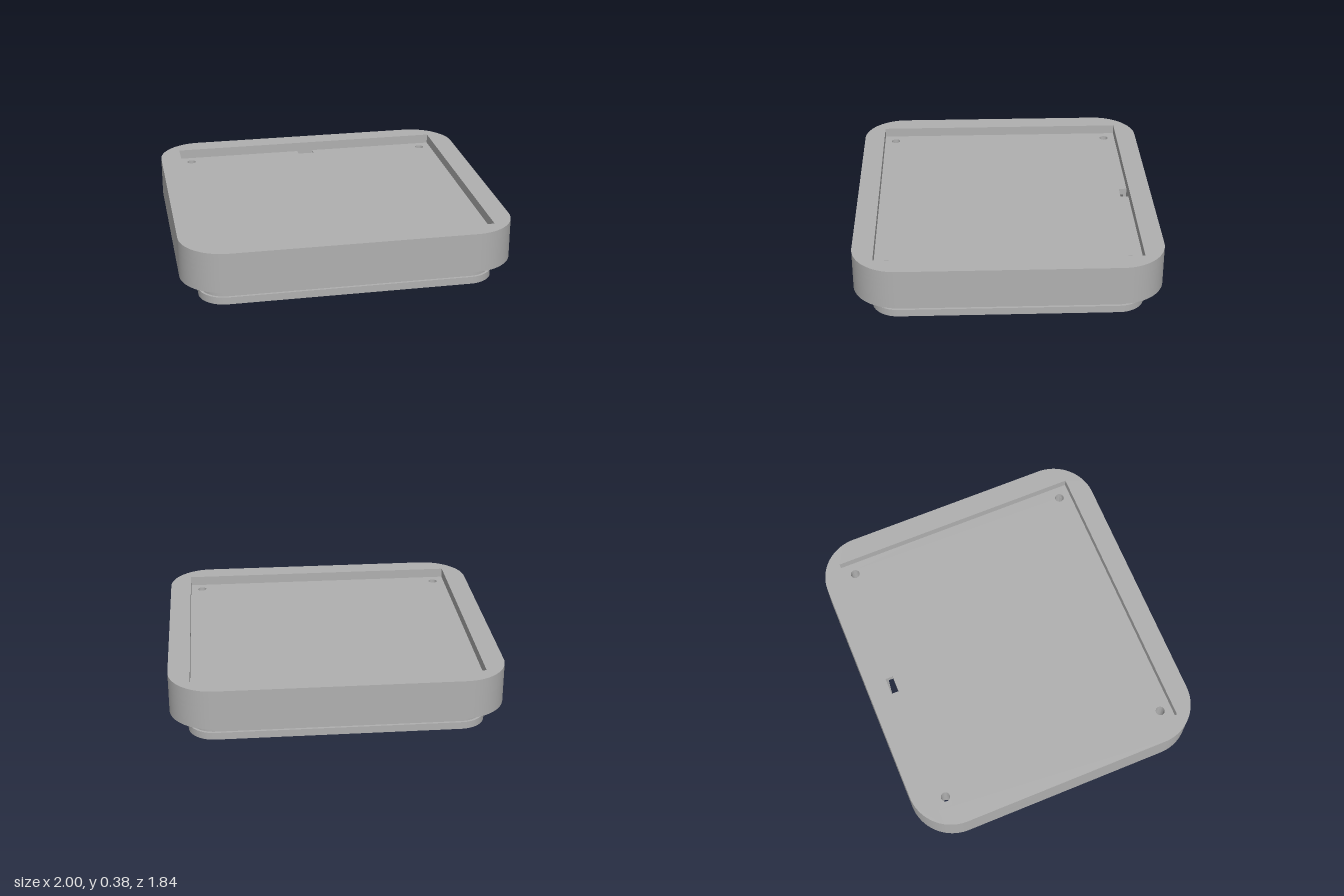
import * as THREE from 'three';
import { toCreasedNormals } from 'three/addons/utils/BufferGeometryUtils.js';

const HOLE_X = 0.795, HOLE_Z = 0.717, HOLE_R = 0.028;

// Rounded rectangle in plan, given half sizes and a corner radius.
// An optional notch cuts the cable slot into its back edge.
function roundedRect(target, w, d, r, notch) {
  target.moveTo(-w + r, -d);
  target.lineTo(w - r, -d);
  target.absarc(w - r, -d + r, r, -Math.PI / 2, 0);
  target.lineTo(w, d - r);
  target.absarc(w - r, d - r, r, 0, Math.PI / 2);
  if (notch) {
    target.lineTo(0.05, d);
    target.lineTo(0.05, notch);
    target.lineTo(-0.055, notch);
    target.lineTo(-0.055, d);
  }
  target.lineTo(-w + r, d);
  target.absarc(-w + r, d - r, r, Math.PI / 2, Math.PI);
  target.lineTo(-w, -d + r);
  target.absarc(-w + r, -d + r, r, Math.PI, Math.PI * 1.5);
  return target;
}

function rect(x0, x1, y0, y1) {
  return new THREE.Path([[x0, y0], [x1, y0], [x1, y1], [x0, y1]].map(p => new THREE.Vector2(...p)));
}

const circle = (target, x, y, r) => target.absarc(x, y, r, 0, Math.PI * 2);

export function createModel() {
  const group = new THREE.Group();
  group.name = 'enclosureLid';
  const grey = new THREE.MeshStandardMaterial({ color: 0xb0b0b0 });
  grey.name = 'grey plastic';

  // Extrudes a plan shape upward between two heights
  function layer(name, shape, holes, y0, y1) {
    shape.holes.push(...holes);
    let geo = new THREE.ExtrudeGeometry(shape, { depth: y1 - y0, bevelEnabled: false, curveSegments: 16 });
    geo.rotateX(-Math.PI / 2);
    geo.translate(0, y0, 0);
    geo = toCreasedNormals(geo, 0.6);
    const mesh = new THREE.Mesh(geo, grey);
    mesh.name = name;
    group.add(mesh);
  }

  const outer = () => roundedRect(new THREE.Shape(), 1, 0.92, 0.27);
  const cavity = () => roundedRect(new THREE.Path(), 0.85, 0.77, 0.12, 0.79);
  const corners = [[1, 1], [-1, 1], [-1, -1], [1, -1]]
    .map(([sx, sz]) => [sx * HOLE_X, sz * HOLE_Z]);

  // Body: raised rim, recessed panel with screw holes and cable slot, side wall
  layer('rim', outer(), [rect(-0.869, 0.869, -0.79, 0.79)], 0.315, 0.375);
  const panelHoles = corners.map(([x, y]) => circle(new THREE.Path(), x, y, HOLE_R));
  panelHoles.push(rect(-0.055, 0.05, 0.74, 0.7899));
  layer('panel', outer(), panelHoles, 0.272, 0.315);
  layer('sideWall', outer(), [cavity()], 0.13, 0.272);

  // Insert lip with a seal groove around it
  const lip = inset => roundedRect(new THREE.Shape(), 0.892 - inset, 0.812 - inset, 0.16 - inset);
  layer('lipTop', lip(0), [cavity()], 0.08, 0.13);
  layer('sealGroove', lip(0.015), [cavity()], 0.045, 0.08);
  layer('lipBottom', lip(0), [cavity()], 0, 0.045);

  // Hollow screw posts under the panel
  corners.forEach(([x, y]) => {
    layer('screwPost', circle(new THREE.Shape(), x, y, 0.07),
      [circle(new THREE.Path(), x, y, HOLE_R)], 0.122, 0.272);
  });

  return group;
}
